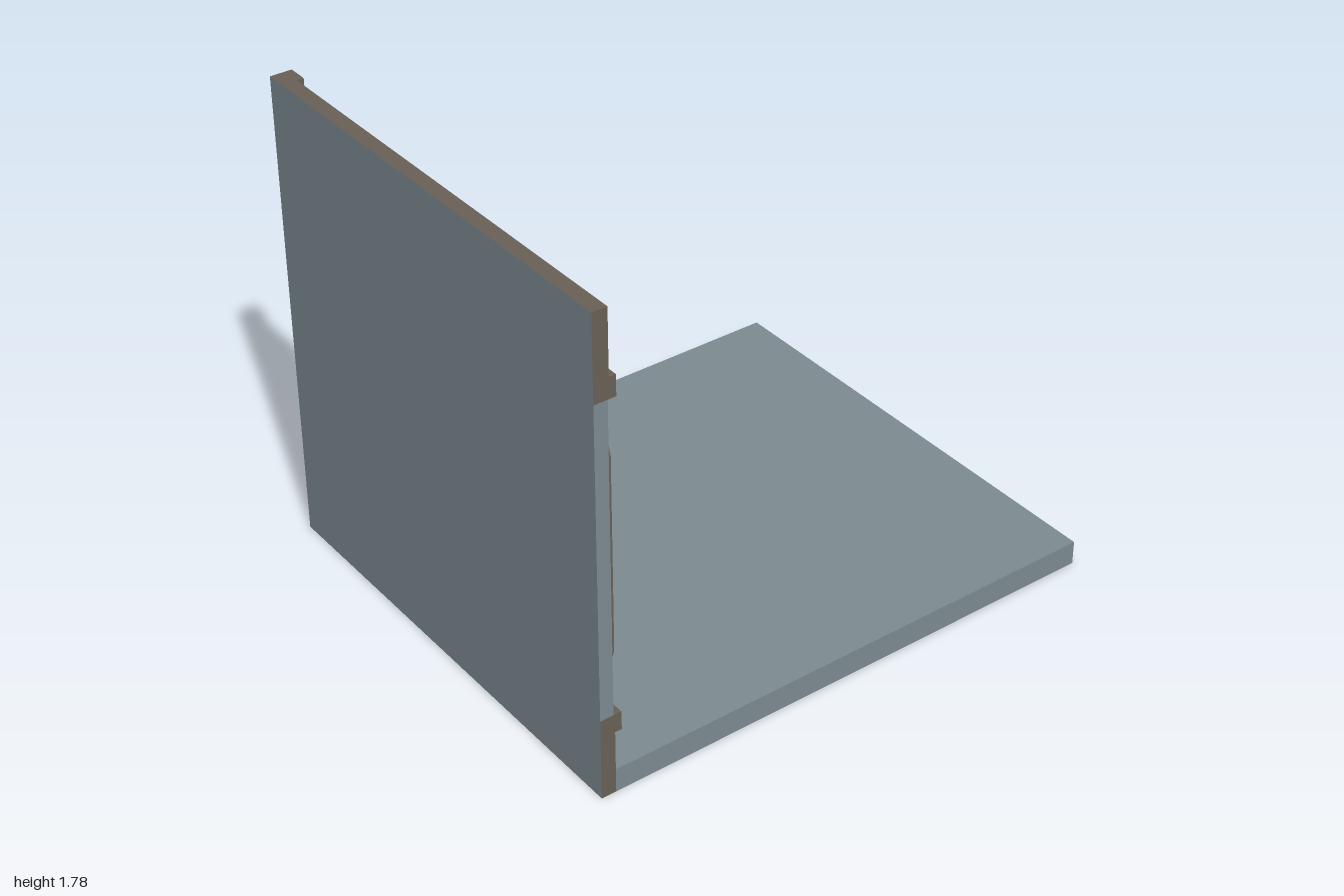
import * as THREE from 'three';

const mat = (color) => new THREE.MeshStandardMaterial({ color, flatShading: true });

export function createModel() {
  const group = new THREE.Group();
  const slate = mat(0x7d8b91), brown = mat(0x6a6156), dark = mat(0x524c43);

  // Box given by its lower and upper limits on each axis
  function box(name, material, [x0, x1], [y0, y1], [z0, z1]) {
    const mesh = new THREE.Mesh(new THREE.BoxGeometry(x1 - x0, y1 - y0, z1 - z0), material);
    mesh.position.set((x0 + x1) / 2, (y0 + y1) / 2, (z0 + z1) / 2);
    mesh.name = name;
    group.add(mesh);
  }

  // Raised trim on the wall, outlined by [z, y] points and facing +x
  function trim(name, outline, hole) {
    const toPoints = (list) => list.map(([z, y]) => new THREE.Vector2(-z, y));
    const shape = new THREE.Shape(toPoints(outline));
    if (hole) shape.holes.push(new THREE.Path(toPoints(hole)));
    const geometry = new THREE.ExtrudeGeometry(shape, { depth: 0.028, bevelEnabled: false });
    geometry.rotateY(Math.PI / 2);
    geometry.translate(-0.95, 0, 0);
    const mesh = new THREE.Mesh(geometry, brown);
    mesh.name = name;
    group.add(mesh);
  }

  const depth = [-0.885, 0.885];

  // Floor slab
  box('floor', slate, [-0.945, 1], [0, 0.09], depth);

  // Wall: middle panel between two bands with dark inner and plain outer faces
  box('wallPanel', slate, [-1, -0.95], [0.31, 1.47], depth);
  const bandFaces = [dark, slate, brown, slate, brown, slate];
  box('lowerBand', bandFaces, [-1, -0.945], [0, 0.31], depth);
  box('upperBand', bandFaces, [-1, -0.945], [1.47, 1.78], depth);

  // Rails and rear post
  box('lowerRail', brown, [-0.95, -0.92], [0.24, 0.31], [-0.81, 0.885]);
  box('upperRail', brown, [-0.95, -0.92], [1.47, 1.545], [-0.81, 0.885]);
  box('rearPost', brown, [-0.95, -0.92], [0.09, 1.78], [-0.885, -0.81]);

  // Frame with chamfered corners
  trim('panelFrame', [
    [0.855, 0.53], [0.855, 1.25], [0.805, 1.39], [0.685, 1.445],
    [-0.605, 1.445], [-0.73, 1.395], [-0.765, 1.265], [-0.765, 0.52],
    [-0.725, 0.385], [-0.6, 0.34], [0.675, 0.34], [0.81, 0.39],
  ], [
    [0.75, 0.57], [0.75, 1.2], [0.718, 1.313], [0.61, 1.357],
    [-0.52, 1.357], [-0.642, 1.313], [-0.67, 1.2], [-0.67, 0.583],
    [-0.637, 0.455], [-0.52, 0.417], [0.61, 0.417], [0.718, 0.455],
  ]);

  // Crossed braces with rounded ends
  trim('crossBrace', [
    [0.56, 1.305], [0.63, 1.315], [0.67, 1.295], [0.7, 1.23], [0.69, 1.18], [0.65, 1.14],
    [0.225, 0.897],
    [0.65, 0.665], [0.69, 0.62], [0.7, 0.58], [0.67, 0.51], [0.625, 0.493], [0.565, 0.498],
    [0.03, 0.787],
    [-0.48, 0.508], [-0.545, 0.498], [-0.59, 0.522], [-0.615, 0.575], [-0.615, 0.62], [-0.585, 0.674],
    [-0.168, 0.897],
    [-0.58, 1.124], [-0.615, 1.172], [-0.62, 1.22], [-0.59, 1.267], [-0.545, 1.295], [-0.48, 1.286],
    [0.03, 1.006],
  ]);

  return group;
}
